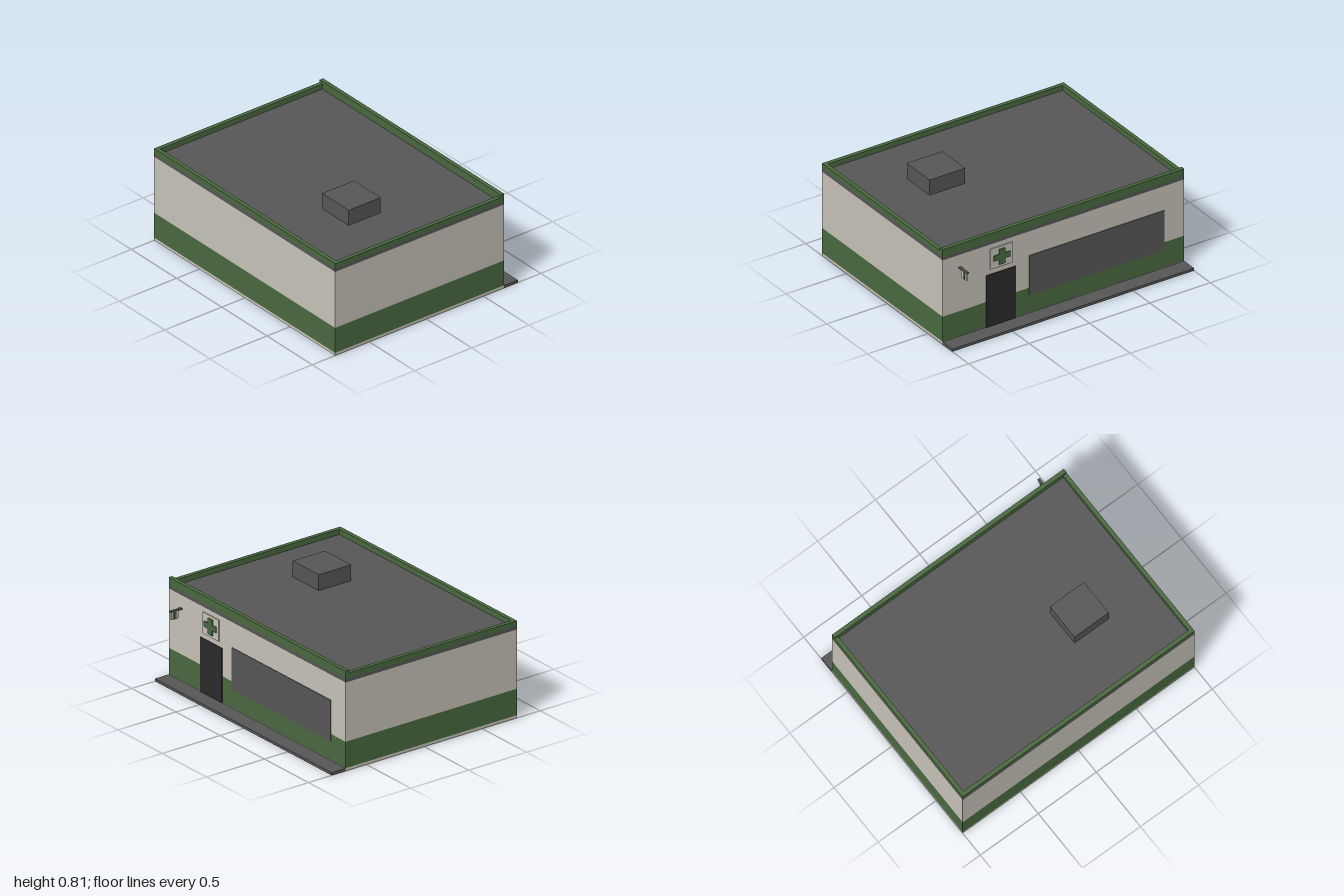
import * as THREE from 'three';

const paint = (name, color) => {
  const m = new THREE.MeshStandardMaterial({ color });
  m.name = name;
  return m;
};

export function createModel() {
  const cream = paint('cream', 0xc8c4ba);
  const green = paint('green', 0x4a6a40);
  const grey = paint('grey', 0x575757);
  const charcoal = paint('charcoal', 0x2b2b2b);

  const model = new THREE.Group();
  model.name = 'shop';

  // Box given by its lower and upper limits on each axis
  const box = (name, mat, [x0, x1], [y0, y1], [z0, z1], parent = model) => {
    const mesh = new THREE.Mesh(new THREE.BoxGeometry(x1 - x0, y1 - y0, z1 - z0), mat);
    mesh.position.set((x0 + x1) / 2, (y0 + y1) / 2, (z0 + z1) / 2);
    mesh.name = name;
    parent.add(mesh);
    return mesh;
  };

  const back = -0.68, front = 0.8, rim = 0.03;
  const wide = [-1, 1], deep = [back, front];

  // Walls, stacked in colour bands, with the roof slab on top
  box('wallBase', cream, wide, [0, 0.022], deep);
  box('wallBand', green, wide, [0.022, 0.22], deep);
  box('upperWall', cream, wide, [0.22, 0.665], deep);
  box('roofSlab', grey, wide, [0.665, 0.69], deep);

  // Parapet, taller along the shop side
  const parapet = new THREE.Group();
  parapet.name = 'parapet';
  model.add(parapet);
  box('plainParapet', green, wide, [0.69, 0.73], [front - rim, front], parapet);
  box('tallParapet', green, wide, [0.69, 0.75], [back, back + rim], parapet);
  for (const [name, x0] of [['leftParapet', 1 - rim], ['rightParapet', -1]]) {
    box(name, green, [x0, x0 + rim], [0.69, 0.73], [back + rim, front - rim], parapet);
  }

  box('roofUnit', grey, [0.3, 0.595], [0.69, 0.81], [0.08, 0.36]);
  box('pavement', grey, wide, [0, 0.02], [-0.8, back]);

  // Door and shop window
  box('door', charcoal, [0.395, 0.64], [0.02, 0.43], [back - 0.005, back]);
  box('shopWindow', grey, [-0.835, 0.285], [0.165, 0.475], [back - 0.005, back]);

  // Wall sign with a raised cross
  const sign = new THREE.Group();
  sign.name = 'wallSign';
  model.add(sign);
  box('signBoard', cream, [0.425, 0.607], [0.47, 0.63], [back - 0.008, back], sign);
  const a = 0.068, b = 0.024;
  const cross = new THREE.Shape([
    [-b, -a], [b, -a], [b, -b], [a, -b], [a, b], [b, b],
    [b, a], [-b, a], [-b, b], [-a, b], [-a, -b], [-b, -b],
  ].map(([x, y]) => new THREE.Vector2(x, y * 0.88)));
  const crossMesh = new THREE.Mesh(
    new THREE.ExtrudeGeometry(cross, { depth: 0.008, bevelEnabled: false }), green);
  crossMesh.position.set(0.516, 0.55, back - 0.016);
  crossMesh.name = 'signCross';
  sign.add(crossMesh);

  // Small sign hanging from an arm
  const hanging = new THREE.Group();
  hanging.name = 'hangingSign';
  model.add(hanging);
  box('signArm', grey, [0.848, 0.867], [0.56, 0.57], [-0.78, back], hanging);
  box('hangingBoard', cream, [0.851, 0.864], [0.503, 0.56], [-0.771, -0.711], hanging);
  box('hangingStripe', green, [0.849, 0.866], [0.503, 0.56], [-0.752, -0.729], hanging);

  return model;
}
